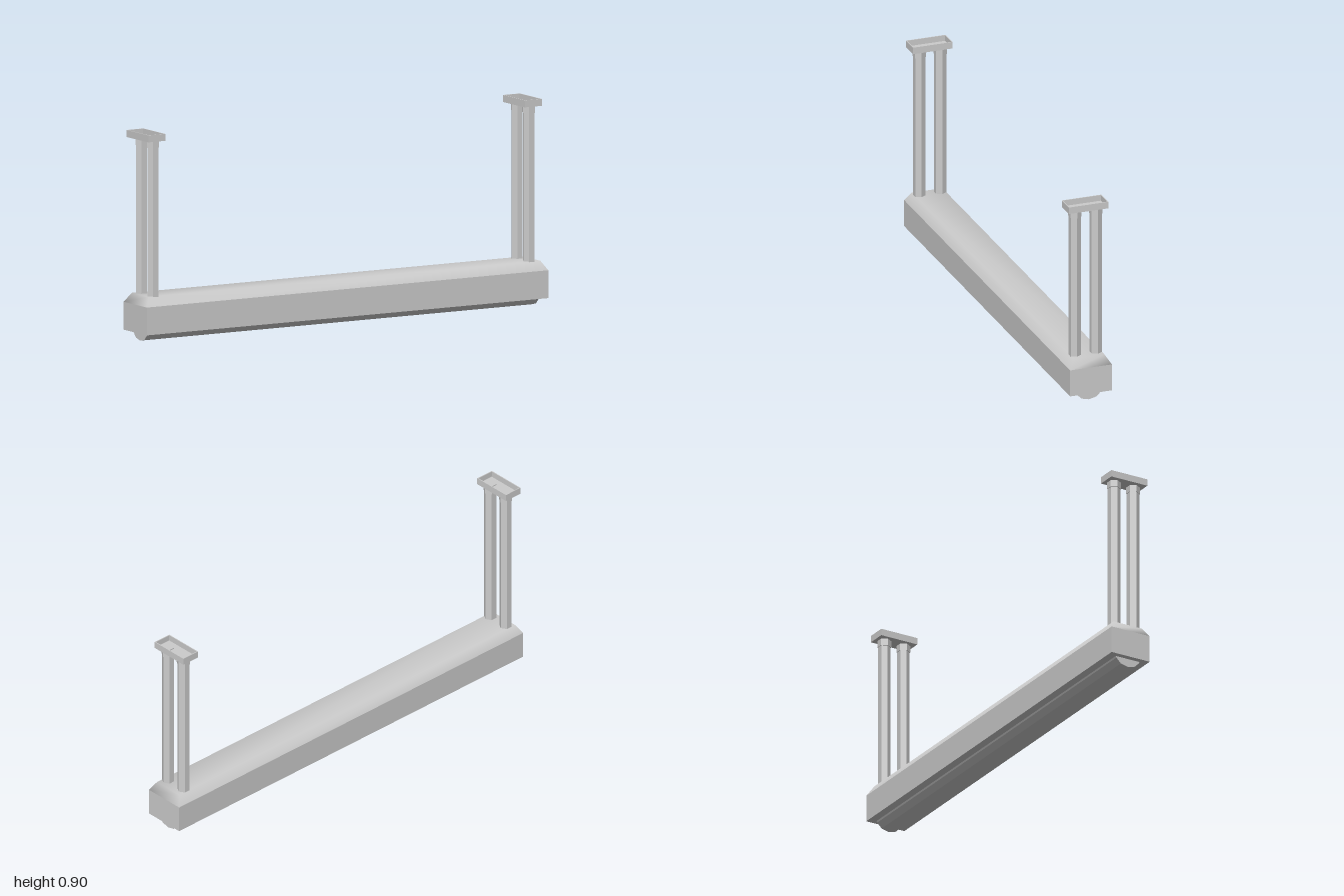
import * as THREE from 'three';

const grey = new THREE.MeshStandardMaterial({ color: 0xcccccc });
const flat = new THREE.MeshStandardMaterial({ color: 0xcccccc, flatShading: true });

function add(parent, name, geometry, material, x = 0, y = 0, z = 0) {
  const mesh = new THREE.Mesh(geometry, material);
  mesh.name = name;
  mesh.position.set(x, y, z);
  parent.add(mesh);
  return mesh;
}

// Sloped lid with normals shared between the slopes and the flat top
function lidGeometry(x0, z0, y0, x1, z1, y1) {
  const ring = (x, y, z) => [-x, y, z, x, y, z, x, y, -z, -x, y, -z];
  const index = [4, 5, 6, 4, 6, 7];
  for (let i = 0; i < 4; i++) {
    const j = (i + 1) % 4;
    index.push(i, j, j + 4, i, j + 4, i + 4);
  }
  const g = new THREE.BufferGeometry();
  g.setAttribute('position', new THREE.Float32BufferAttribute([...ring(x0, y0, z0), ...ring(x1, y1, z1)], 3));
  g.setIndex(index);
  g.computeVertexNormals();
  return g;
}

// Hexagonal bar with corners pointing along x
function hexBar(radius, y0, y1) {
  const g = new THREE.CylinderGeometry(radius, radius, y1 - y0, 6, 1, false, Math.PI / 6);
  return g.translate(0, (y0 + y1) / 2, 0);
}

// Faceted trough running along x
function diffuserGeometry(length) {
  const half = [[0.06, 0.042], [0.056, 0.033], [0.034, 0.011]];
  const points = [...half, [0, 0.003], ...half.map(([z, y]) => [-z, y]).reverse()];
  const shape = new THREE.Shape(points.map(([z, y]) => new THREE.Vector2(z, y)));
  const g = new THREE.ExtrudeGeometry(shape, { depth: length, bevelEnabled: false });
  return g.translate(0, 0, -length / 2).rotateY(Math.PI / 2);
}

// Shallow ceiling tray, open at the top, with two hanging rods
function hanger(name, trayX, rodX) {
  const group = new THREE.Group();
  group.name = name;
  const w = 0.0425, d = 0.09, t = 0.004;
  const box = (a, b) => [[-a, -b], [a, -b], [a, b], [-a, b]].map(([x, y]) => new THREE.Vector2(x, y));
  const rim = new THREE.Shape(box(w, d));
  rim.holes.push(new THREE.Path(box(w - t, d - t)));
  const rimGeometry = new THREE.ExtrudeGeometry(rim, { depth: 0.03, bevelEnabled: false }).rotateX(-Math.PI / 2);
  add(group, 'trayRim', rimGeometry, flat, trayX, 0.87, 0);
  add(group, 'trayFloor', new THREE.BoxGeometry(2 * (w - t), t, 2 * (d - t)), flat, trayX, 0.87 + t / 2, 0);
  for (const z of [0.048, -0.047]) {
    add(group, 'rod', hexBar(0.027, 0.19, 0.879), flat, rodX, 0, z);
    add(group, 'rodCollar', hexBar(0.0295, 0.84, 0.872), flat, rodX, 0, z);
  }
  return group;
}

export function createModel() {
  const model = new THREE.Group();
  model.name = 'hangingLamp';
  // Housing
  add(model, 'housing', new THREE.BoxGeometry(2, 0.12, 0.19), flat, 0, 0.1, 0);
  add(model, 'housingLid', lidGeometry(1, 0.095, 0.16, 0.975, 0.07, 0.2), grey);
  // Light cover beneath
  add(model, 'diffuser', diffuserGeometry(1.95), flat);
  // Ceiling mounts
  model.add(hanger('rightHanger', -0.947, -0.941), hanger('leftHanger', 0.928, 0.931));
  return model;
}
